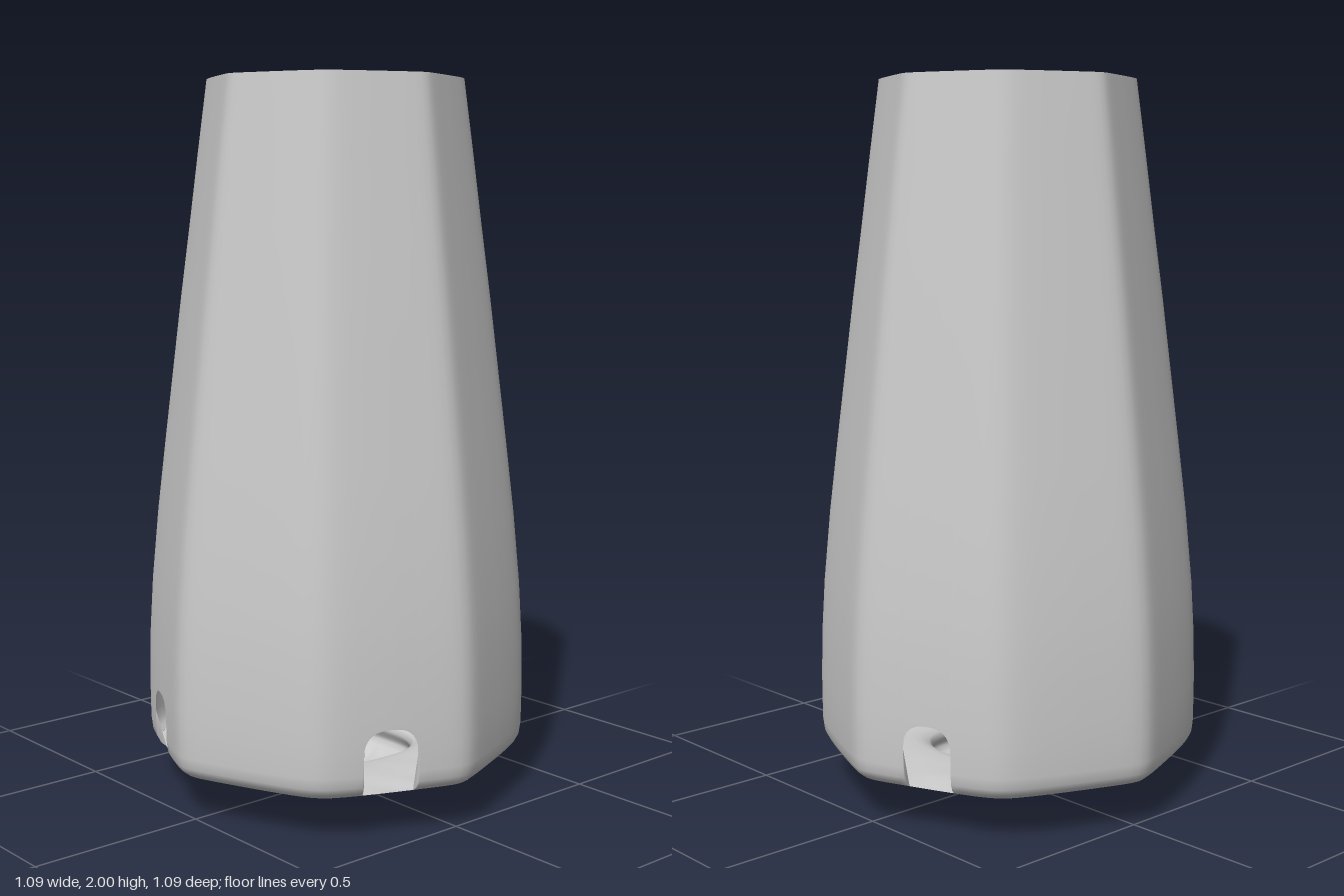
import * as THREE from 'three';

const TAU = Math.PI * 2, DEG = Math.PI / 180;

// Half-width of the shade at height y
const profile = [[0.13, 0.515], [0.142, 0.53], [0.16, 0.54], [0.19, 0.544], [0.26, 0.545], [0.32, 0.545], [0.45, 0.542],
  [0.6, 0.533], [0.8, 0.514], [1.0, 0.49], [1.2, 0.465], [1.4, 0.44], [1.6, 0.413], [1.8, 0.387], [2, 0.36]];
function halfWidth(y) {
  let i = 1;
  while (i < profile.length - 1 && y > profile[i][0]) i++;
  const [y0, r0] = profile[i - 1], [y1, r1] = profile[i];
  return r0 + (r1 - r0) * (y - y0) / (y1 - y0);
}

// Unit octagon with softened corners; the diagonal corners are rounder
function octagon(t) {
  const k = Math.round(t / (TAU / 8));
  const soft = k % 2 ? 0.1 : 0.05;
  const d = Math.hypot(t - k * TAU / 8, soft);
  return 0.942 / Math.cos(TAU / 16 - d);
}

// Unit rounded square
const squircle = (t) => Math.pow(Math.abs(Math.sin(t)) ** 2.7 + Math.abs(Math.cos(t)) ** 2.7, -1 / 2.7);

// Closed surface of rings: point(column, row) gives [angle, radius, y]
function rings(name, cols, rows, point) {
  const pos = [], idx = [];
  for (let j = 0; j < rows; j++)
    for (let i = 0; i < cols; i++) {
      const [t, r, y] = point(i, j);
      pos.push(r * Math.sin(t), y, r * Math.cos(t));
      if (j === rows - 1) continue;
      const a = j * cols + i, b = j * cols + (i + 1) % cols;
      idx.push(a, b, b + cols, a, b + cols, a + cols);
    }
  const g = new THREE.BufferGeometry();
  g.setAttribute('position', new THREE.Float32BufferAttribute(pos, 3));
  g.setIndex(idx);
  g.computeVertexNormals();
  const mesh = new THREE.Mesh(g, new THREE.MeshStandardMaterial({ color: 0xcccccc, side: THREE.DoubleSide }));
  mesh.name = name;
  return mesh;
}

// Columns of the wall; inside a notch the wall starts at the arch height
function wallColumns() {
  const notches = [[90 + 14.9, 90 + 30.3], [270 - 30.3, 270 - 14.9], [360 - 32.3, 360 - 15.7]];
  const cols = [];
  for (let a = 0; a < 360; a += 2.5)
    if (!notches.some(([s, e]) => a >= s && a <= e)) cols.push({ t: a * DEG, cut: 0 });
  for (const [s, e] of notches) {
    cols.push({ t: s * DEG, cut: 0 });
    for (let i = 0; i <= 16; i++) {
      const u = Math.sin((i / 16 - 0.5) * Math.PI);
      const arch = 0.24 + 0.07 * Math.pow(Math.max(0, 1 - Math.abs(u) ** 2.6), 1 / 2.6);
      cols.push({ t: ((s + e) / 2 + u * (e - s) / 2) * DEG, cut: arch });
    }
    cols.push({ t: e * DEG, cut: 0 });
  }
  return cols.sort((a, b) => a.t - b.t);
}

export function createModel() {
  const model = new THREE.Group();
  model.name = 'octagonalShade';

  // Tapered wall with three arched notches, open at the top
  const cols = wallColumns();
  model.add(rings('wall', cols.length, profile.length, (i, j) => {
    const { t, cut } = cols[i];
    const y = Math.max(profile[j][0], cut);
    return [t, halfWidth(y) * octagon(t), y];
  }));

  // Uneven floor: [radius, y, octagon share, roughness], centre outwards
  const floor = [[0, 0.006, 0, 0], [0.06, 0.008, 0, 0.004], [0.11, 0.012, 0, 0.006], [0.15, 0.022, 0, 0.006],
    [0.185, 0.036, 0, 0.004], [0.205, 0.05, 0, 0], [0.216, 0.065, 0, 0], [0.214, 0.078, 0, 0], [0.204, 0.092, 0, 0],
    [0.2, 0.106, 0, 0], [0.208, 0.12, 0, 0], [0.228, 0.131, 0, 0], [0.26, 0.137, 0.2, 0], [0.32, 0.139, 0.6, 0.001],
    [0.4, 0.138, 1, 0.003], [0.45, 0.135, 1, 0.006], [0.49, 0.131, 1, 0.006], [0.515, 0.13, 1, 0]];
  const n = 112;
  model.add(rings('floorAndWell', n, floor.length, (i, j) => {
    const t = i / n * TAU, [r, y, oct, rough] = floor[j];
    const bump = Math.sin(7 * t + j * 1.3) * 0.5 + Math.sin(17 * t - j * 2.1) * 0.3 + Math.sin(29 * t + j) * 0.2;
    return [t, r * THREE.MathUtils.lerp(squircle(t), octagon(t), oct), Math.max(0, y + rough * bump)];
  }));

  return model;
}
